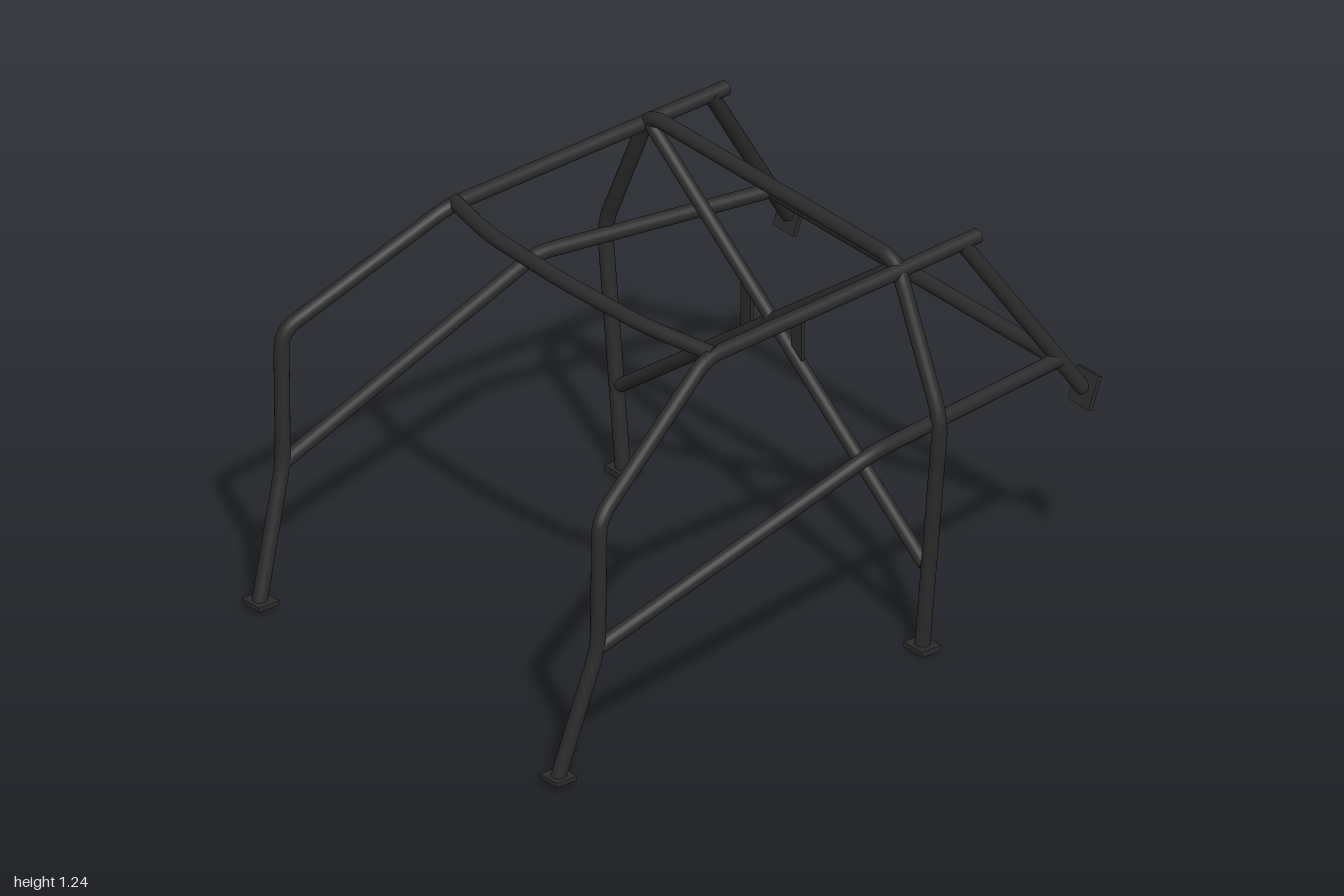
import * as THREE from 'three';
import { mergeGeometries } from 'three/addons/utils/BufferGeometryUtils.js';

const R = 0.023;
const material = new THREE.MeshStandardMaterial({ color: 0x2b2b2b });
const V = (p) => new THREE.Vector3(...p);
const mirror = (pts) => pts.map(([x, y, z]) => [-x, y, z]);

// Straight runs joined by rounded bends
function bentPath(points, bend) {
  const p = points.map(V);
  const path = new THREE.CurvePath();
  let start = p[0];
  for (let i = 1; i < p.length - 1; i++) {
    const a = p[i].clone().add(p[i - 1].clone().sub(p[i]).setLength(bend));
    const b = p[i].clone().add(p[i + 1].clone().sub(p[i]).setLength(bend));
    path.add(new THREE.LineCurve3(start, a));
    path.add(new THREE.QuadraticBezierCurve3(a, p[i], b));
    start = b;
  }
  path.add(new THREE.LineCurve3(start, p[p.length - 1]));
  return path;
}

// Capped round tube along a bent path
function tube(name, points, radius = R, bend = 0.05) {
  const path = bentPath(points, bend);
  const segments = points.length > 2 ? 90 : 1;
  const parts = [new THREE.TubeGeometry(path, segments, radius, 20, false)];
  for (const [t, dir] of [[0, -1], [1, 1]]) {
    const cap = new THREE.CircleGeometry(radius, 20);
    const normal = path.getTangentAt(t).multiplyScalar(dir);
    cap.applyQuaternion(new THREE.Quaternion().setFromUnitVectors(new THREE.Vector3(0, 0, 1), normal));
    const c = path.getPointAt(t);
    parts.push(cap.translate(c.x, c.y, c.z));
  }
  const mesh = new THREE.Mesh(mergeGeometries(parts), material);
  mesh.name = name;
  return mesh;
}

function plate(name, size, position, tilt = 0) {
  const mesh = new THREE.Mesh(new THREE.BoxGeometry(...size), material);
  mesh.name = name;
  mesh.position.set(...position);
  mesh.rotation.x = tilt;
  return mesh;
}

export function createModel() {
  const group = new THREE.Group();
  group.name = 'rollCage';
  const hoopZ = -0.37;

  // Main hoop
  const half = [[0.69, 0.01, hoopZ], [0.774, 0.775, hoopZ], [0.57, 1.213, hoopZ]];
  group.add(tube('mainHoop', [...mirror(half), ...half.reverse()], R, 0.055));

  // Crossed diagonals inside the hoop
  const diagonal = [[-0.7, 0.28, hoopZ], [0.575, 1.195, hoopZ]];
  group.add(tube('diagonalA', diagonal, 0.021), tube('diagonalB', mirror(diagonal), 0.021));

  // Bowed windscreen bar and straight rear bar
  const bow = [[0.595, 1.145, 0.32], [0.36, 1.16, 0.385], [0, 1.167, 0.406]];
  group.add(tube('windscreenBar', [...mirror(bow), ...bow.slice(0, 2).reverse()], R, 0.09));
  group.add(tube('rearCrossBar', [[-0.66, 0.757, -0.89], [0.66, 0.757, -0.89]]));

  // Paired side members
  for (const [side, s] of [['left', 1], ['right', -1]]) {
    const at = (pts) => (s > 0 ? pts : mirror(pts));
    group.add(
      tube(side + 'FrontLegAndRoofRail', at([
        [0.688, 0.02, 0.963], [0.726, 0.42, 0.847], [0.733, 0.84, 0.847],
        [0.594, 1.14, 0.345], [0.579, 1.2, -0.66],
      ])),
      tube(side + 'DoorBar', at([[0.726, 0.42, 0.845], [0.778, 0.757, -0.125], [0.662, 0.757, -0.89]])),
      tube(side + 'RearStay', at([[0.578, 1.2, -0.6], [0.68, 0.645, -0.968]])),
      plate(side + 'FrontFoot', [0.078, 0.014, 0.075], [s * 0.686, 0.021, 0.96]),
      plate(side + 'HoopFoot', [0.085, 0.018, 0.07], [s * 0.69, 0.009, hoopZ]),
      plate(side + 'RearFoot', [0.095, 0.105, 0.014], [s * 0.68, 0.645, -0.973], -0.37),
    );

    // Upright gusset bridging the diagonals beside their crossing
    const shape = new THREE.Shape();
    [[0.095, 0.065], [0.14, 0.095], [0.14, -0.095], [0.095, -0.065]].forEach(([x, y], i) =>
      i ? shape.lineTo(s * x, y) : shape.moveTo(s * x, y));
    const gusset = new THREE.Mesh(new THREE.ExtrudeGeometry(shape, { depth: 0.012, bevelEnabled: false }), material);
    gusset.name = side + 'CrossGusset';
    gusset.position.set(0, 0.782, hoopZ - 0.006);
    group.add(gusset);
  }
  return group;
}
